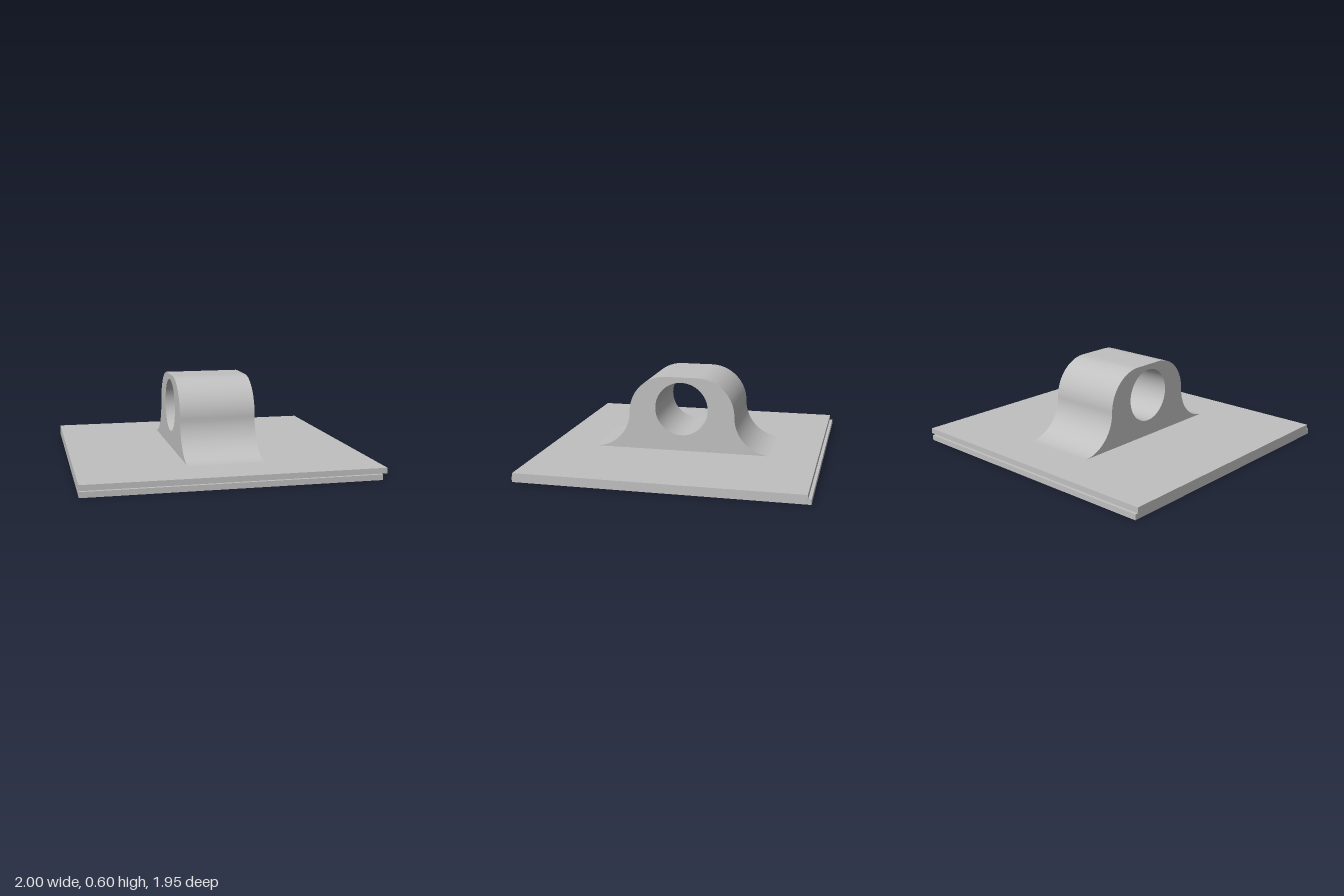
import * as THREE from 'three';
import { toCreasedNormals } from 'three/addons/utils/BufferGeometryUtils.js';

const U = 0.0376; // plate thickness, the base unit of the part

export function createModel() {
  const model = new THREE.Group();
  model.name = 'mountingPlateWithEye';
  const grey = new THREE.MeshStandardMaterial({ color: 0xc0c0c0 });
  grey.name = 'light grey';

  const add = (name, geometry) => {
    const mesh = new THREE.Mesh(geometry, grey);
    mesh.name = name;
    model.add(mesh);
    return mesh;
  };

  // Two stacked plates: the upper overhangs at +x, the lower steps out at both z edges
  const plate = (name, x0, x1, halfZ, y0) =>
    add(name, new THREE.BoxGeometry(x1 - x0, U, 2 * halfZ)).position.set((x0 + x1) / 2, y0 + U / 2, 0);
  plate('lowerPlate', -1, 0.962, 0.977, 0);
  plate('upperPlate', -1, 1, 0.956, U);

  // Eye block profile: flared feet, rounded shoulders, flat top
  const r = 7 * U, base = 2 * U, mid = base + r;
  const inner = 3 * U, outer = 17 * U;
  const profile = new THREE.Shape();
  profile.moveTo(-outer, base);
  profile.lineTo(outer, base);
  profile.absarc(outer, mid, r, -Math.PI / 2, -Math.PI, true);
  profile.absarc(inner, mid, r, 0, Math.PI / 2, false);
  profile.lineTo(-inner, base + 2 * r);
  profile.absarc(-inner, mid, r, Math.PI / 2, Math.PI, false);
  profile.absarc(-outer, mid, r, 0, -Math.PI / 2, true);

  // Round bore through the block
  const bore = new THREE.Path();
  bore.absarc(0, 10 * U, 5 * U, 0, Math.PI * 2, true);
  profile.holes.push(bore);

  const width = 14 * U;
  const block = new THREE.ExtrudeGeometry(profile, { depth: width, bevelEnabled: false, curveSegments: 24 });
  block.translate(0, 0, -width / 2);
  block.rotateY(Math.PI / 2);
  add('eyeBlock', toCreasedNormals(block, 0.5));

  return model;
}
